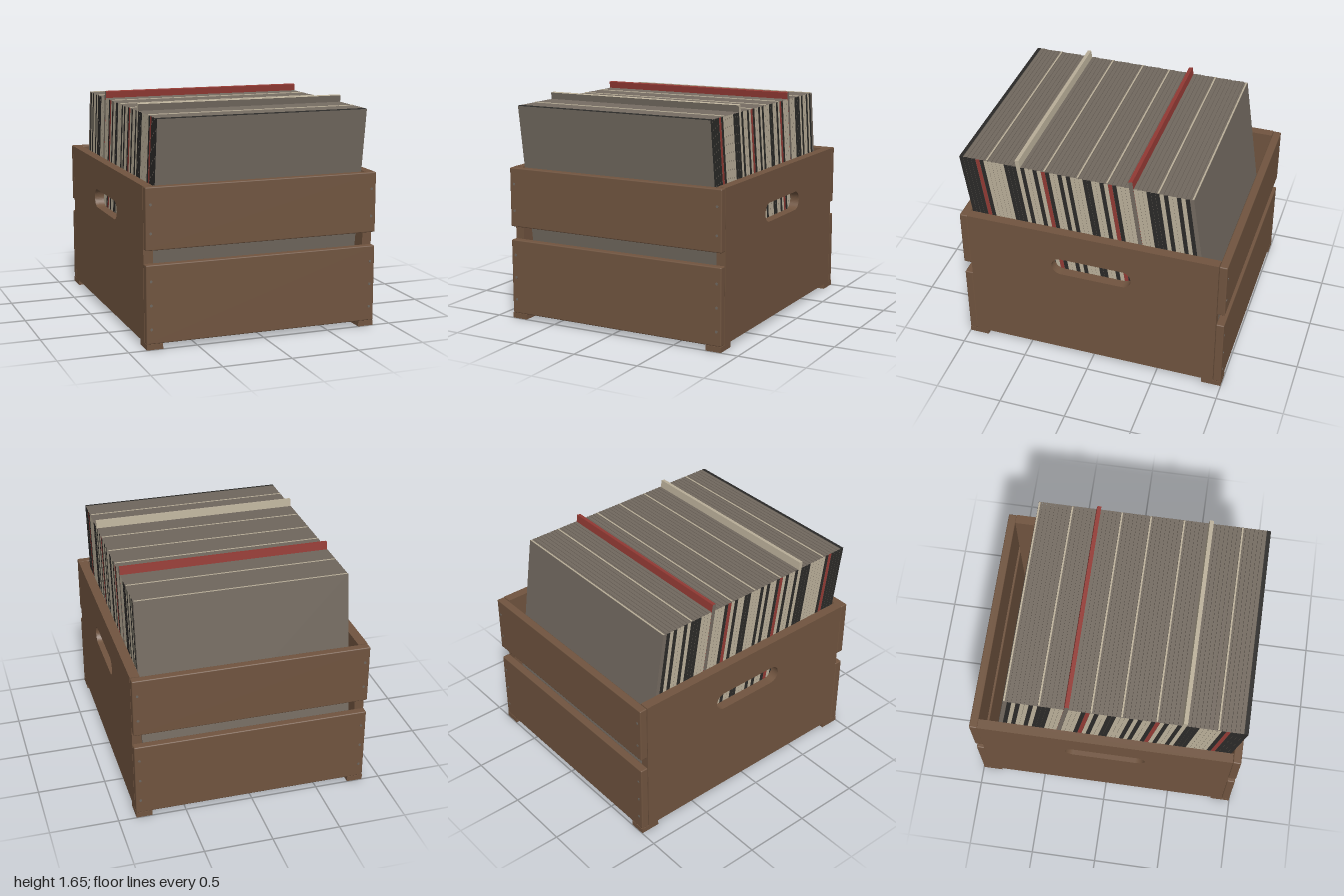
import * as THREE from 'three';
import { RoundedBoxGeometry } from 'three/addons/geometries/RoundedBoxGeometry.js';

const mat = (color) => new THREE.MeshStandardMaterial({ color });

export function createModel() {
  const group = new THREE.Group();
  const wood = mat(0x70543f);
  const metal = mat(0x6e675f);
  const grey = mat(0x736a60);
  const black = mat(0x2b2a28);
  const beige = mat(0xbbb09a);
  const red = mat(0x933a34);

  const add = (name, geometry, material, x, y, z, parent = group) => {
    const mesh = new THREE.Mesh(geometry, material);
    mesh.name = name;
    mesh.position.set(x, y, z);
    parent.add(mesh);
    return mesh;
  };

  // Side panels with a rounded hand slot
  const panel = new THREE.Shape();
  panel.moveTo(-0.937, 0.04);
  panel.lineTo(0.937, 0.04);
  panel.lineTo(0.937, 1.14);
  panel.lineTo(-0.937, 1.14);
  panel.closePath();
  const slot = new THREE.Path();
  slot.absarc(0.23, 0.84, 0.07, -Math.PI / 2, Math.PI / 2, false);
  slot.absarc(-0.23, 0.84, 0.07, Math.PI / 2, Math.PI * 1.5, false);
  slot.closePath();
  panel.holes.push(slot);
  const panelGeo = new THREE.ExtrudeGeometry(panel, { depth: 0.07, bevelEnabled: false, curveSegments: 12 });
  panelGeo.rotateY(Math.PI / 2);
  add('leftPanel', panelGeo, wood, 0.798, 0, 0);
  add('rightPanel', panelGeo, wood, -0.868, 0, 0);

  // Floor
  add('floor', new THREE.BoxGeometry(1.6, 0.04, 1.876), wood, 0, 0.062, 0);

  // Front and back slats, screws and feet
  const slat = (h) => new RoundedBoxGeometry(1.736, h, 0.06, 2, 0.008);
  const lowerSlat = slat(0.56);
  const upperSlat = slat(0.44);
  const screwGeo = new THREE.CylinderGeometry(0.01, 0.01, 0.006, 12).rotateX(Math.PI / 2);
  const footGeo = new THREE.BoxGeometry(0.118, 0.04, 0.148);
  for (const s of [1, -1]) {
    const end = s > 0 ? 'front' : 'back';
    add(end + 'LowerSlat', lowerSlat, wood, 0, 0.32, s * 0.968);
    add(end + 'UpperSlat', upperSlat, wood, 0, 0.92, s * 0.968);
    for (const x of [-1, 1]) {
      for (const y of [0.145, 0.315, 0.485, 0.82, 1.02]) {
        add(end + 'Screw', screwGeo, metal, x * 0.833, y, s * 0.997);
      }
      add(end + 'Foot', footGeo, wood, x * 0.809, 0.02, s * 0.924);
    }
  }

  // Leaning row of record sleeves, front to back:
  // K black, B beige, R red, G grey spine; E beige and D red tall dividers
  const row = 'KKKKRKBBBBBKKKEKBBKBRKBBKBKBBBKKBBKBRKBBBDBBBKKKBKBBKBKG';
  const spines = { K: black, B: beige, R: red, G: grey, E: beige, D: grey };
  const paleTops = [6, 20, 28, 35, 47, 55];
  const lean = 0.144;
  const pitch = 1.72 / row.length;
  const thick = pitch * Math.cos(lean);
  const boxFromTop = (w, h, d) => new THREE.BoxGeometry(w, h, d).translate(0, -h / 2, -d / 2);
  const sleeveGeo = boxFromTop(1.56, 1.53, thick * 0.96);
  const dividerGeo = boxFromTop(1.56, 1.585, thick * 0.96);
  const innerGeo = boxFromTop(1.55, 0.3, thick * 0.4);

  const records = new THREE.Group();
  records.name = 'records';
  group.add(records);
  [...row].forEach((kind, i) => {
    const divider = kind === 'E' || kind === 'D';
    const cover = kind === 'D' ? red : grey;
    const top = i === 0 ? black : kind === 'E' ? beige : cover;
    const spine = spines[kind];
    const back = kind === 'E' ? beige : cover;
    const rise = divider ? 0.052 : 0;
    const z = 0.998 - i * pitch + rise * Math.tan(lean);
    const sleeve = add(divider ? 'divider' : 'sleeve', divider ? dividerGeo : sleeveGeo,
      [spine, spine, top, grey, cover, back], 0, 1.598 + rise, z, records);
    sleeve.rotation.x = lean;
    // Pale inner sleeve peeking out of the opening
    if (paleTops.includes(i)) add('innerSleeve', innerGeo, beige, 0, 0.003, -thick * 0.54, sleeve);
  });

  return group;
}
